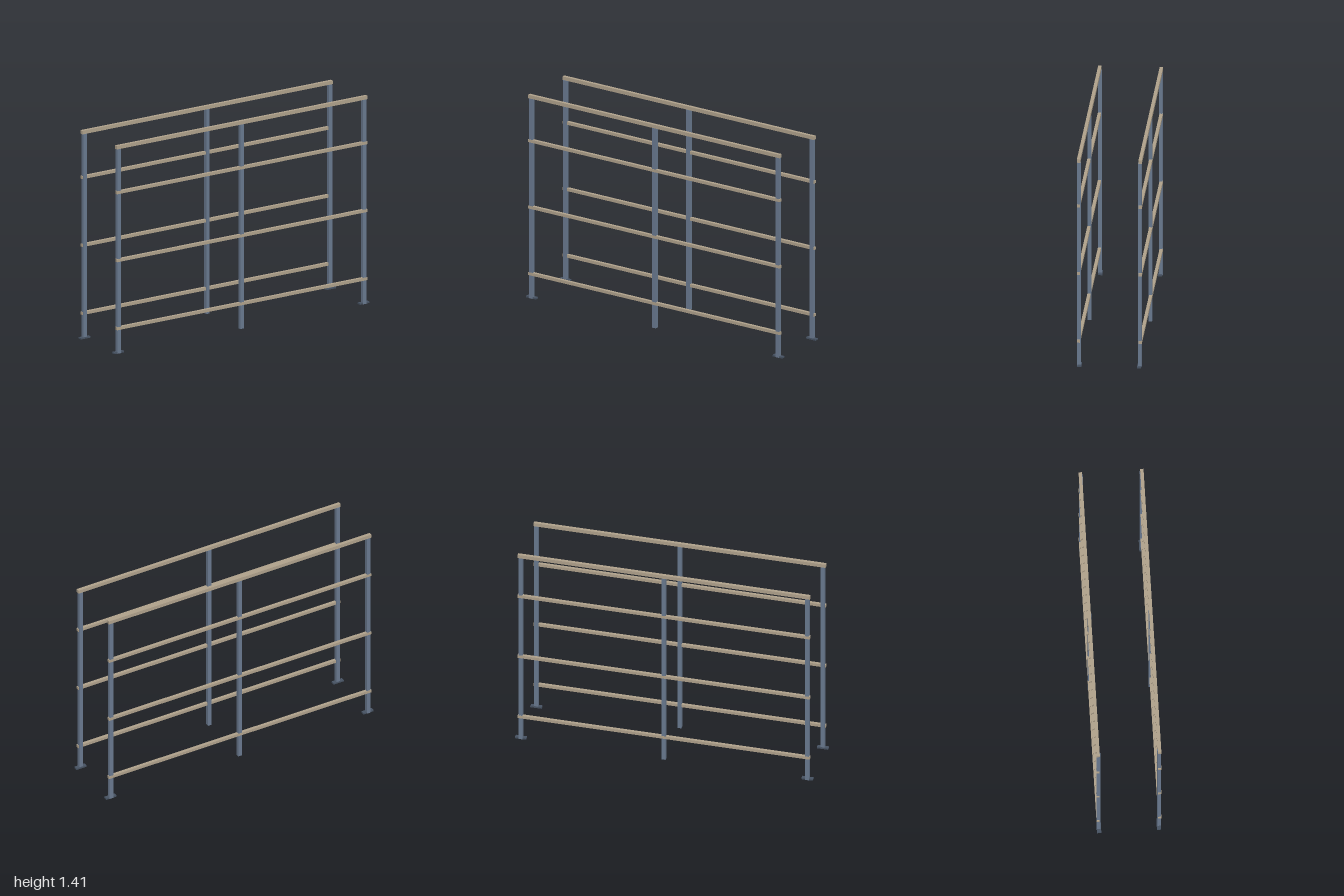
import * as THREE from 'three';

const postMat = new THREE.MeshStandardMaterial({ color: 0x68788e });
const railMat = new THREE.MeshStandardMaterial({ color: 0xaea08a });
const plateMat = new THREE.MeshStandardMaterial({ color: 0x465262 });

function addBox(group, name, material, [w, h, d], [x, y, z]) {
  const mesh = new THREE.Mesh(new THREE.BoxGeometry(w, h, d), material);
  mesh.name = name;
  mesh.position.set(x, y, z);
  group.add(mesh);
}

export function createModel() {
  const model = new THREE.Group();
  model.name = 'doubleRailing';
  const postHeight = 1.388;

  for (const side of [1, -1]) {
    const row = new THREE.Group();
    row.name = side > 0 ? 'frontRailing' : 'backRailing';

    // Upright posts, with foot plates under the end posts
    for (const x of [-0.962, 0, 0.962]) {
      addBox(row, 'post', postMat, [0.027, postHeight, 0.025], [x, postHeight / 2, side * 0.1975]);
      if (x !== 0) addBox(row, 'footPlate', plateMat, [0.076, 0.01, 0.027], [x, 0.005, side * 0.194]);
    }

    // Three horizontal rails set into the outer face of the posts
    for (const y of [0.17, 0.632, 1.093]) {
      addBox(row, 'rail', railMat, [1.962, 0.02, 0.021], [0, y, side * 0.2005]);
    }

    // Handrail capping the posts
    addBox(row, 'handrail', railMat, [1.962, 0.024, 0.022], [0, 1.4, side * 0.2]);
    model.add(row);
  }
  return model;
}
